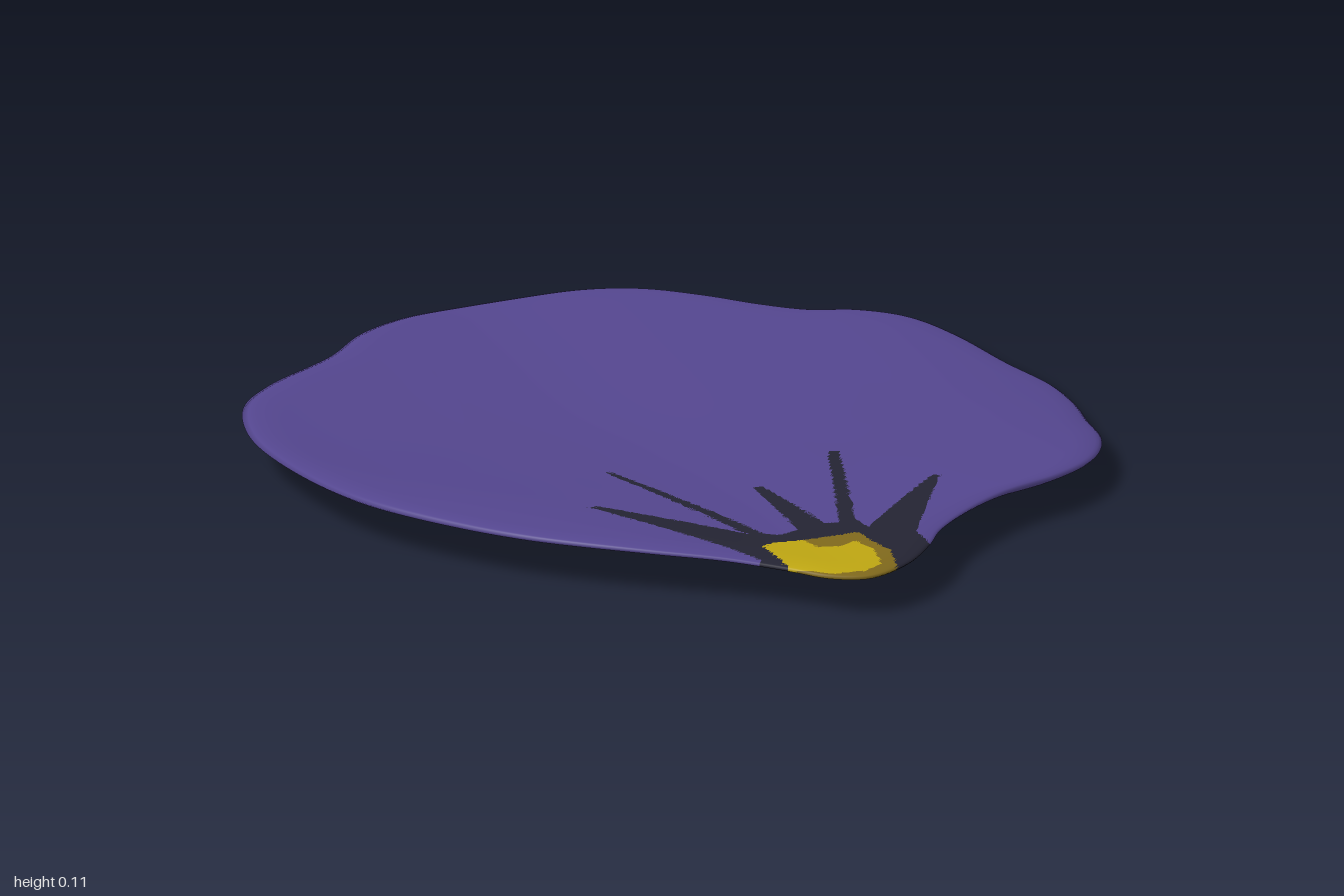
import * as THREE from 'three';

const material = (name, color) => Object.assign(new THREE.MeshStandardMaterial({ color }), { name });

// Petal outline (x, z), running from the back edge round to the right of the plan
const OUTLINE = [
  [-.01, -1], [.15, -.99], [.27, -.95], [.38, -.87], [.47, -.79], [.56, -.73], [.66, -.7], [.76, -.64],
  [.82, -.54], [.86, -.38], [.89, -.22], [.87, -.04], [.83, .12], [.8, .25], [.74, .38], [.67, .47],
  [.57, .54], [.42, .6], [.3, .68], [.2, .77], [.14, .85], [.05, .94], [-.06, .99], [-.14, .96],
  [-.2, .89], [-.3, .79], [-.43, .69], [-.63, .51], [-.75, .35], [-.85, .16], [-.89, 0], [-.9, -.2],
  [-.88, -.4], [-.82, -.55], [-.72, -.65], [-.52, -.78], [-.4, -.89], [-.27, -.96], [-.14, -.99],
];

// Painted regions (x, z), later ones lie over earlier ones
const STREAKS = [
  [-.3, 1.1], [-.24, .82], [-.43, .37], [-.41, .36], [-.18, .67], [-.2, .63], [-.265, .08], [-.25, .08],
  [-.16, .66], [-.13, .68], [-.08, .66], [-.03, .31], [-.01, .31], [-.01, .64], [.02, .65], [.22, .14],
  [.245, .14], [.06, .64], [.06, .71], [.33, .43], [.345, .44], [.14, .78], [.14, .85], [.1, 1.1],
];
const HALO = [[-.2, .76], [-.1, .73], [.03, .73], [.03, .8], [.04, .87], [.02, .95], [-.03, 1.05], [-.16, 1.05], [-.2, .9]];
const HEART = [[-.2, .75], [-.17, .73], [-.1, .73], [-.09, .79], [-.04, .8], [0, .78], [.01, .85], [-.01, .94], [-.06, .965], [-.13, .955], [-.2, .89]];

function inside(poly, x, z) {
  let hit = false;
  for (let i = 0, j = poly.length - 1; i < poly.length; j = i++) {
    const [xi, zi] = poly[i], [xj, zj] = poly[j];
    if ((zi > z) !== (zj > z) && x < (xj - xi) * (z - zi) / (zj - zi) + xi) hit = !hit;
  }
  return hit;
}

function profile(points) {
  const curve = new THREE.CubicInterpolant(points.map(p => p[0]), points.map(p => p[1]), 1);
  return v => curve.evaluate(v)[0];
}

// Cupped middle surface: one profile across and one along the petal
const across = profile([[-1, .1], [-.9, .097], [-.7, .077], [-.4, .05], [-.1, .03], [.2, .034], [.5, .037], [.7, .034], [.9, .016], [1, .005]]);
const along = profile([[-1.1, .088], [-1, .082], [-.75, .06], [-.5, .031], [-.3, .022], [0, .037], [.3, .06], [.6, .078], [1, .085], [1.1, .085]]);
const height = (x, z) => {
  const h = across(x) + along(z) - .028;
  return h < .085 ? h : .085 + .017 * Math.tanh((h - .085) / .017);
};

function petalGeometry() {
  const SIDES = 360, RINGS = 68, HALF = .012, ROUND = .09;
  const cx = -.05, cz = .6;
  const rim = new THREE.CatmullRomCurve3(OUTLINE.map(([x, z]) => new THREE.Vector3(x, 0, z)), true)
    .getSpacedPoints(SIDES);
  const position = [], groups = [[], [], [], []];

  // Concentric rings for both skins, thinning to a shared rounded rim
  for (const side of [1, -1]) {
    position.push(cx, height(cx, cz) + side * HALF, cz);
    for (let r = 1; r <= RINGS; r++) {
      const u = r / RINGS, s = u * (1.25 - .25 * u);
      for (let i = 0; i < SIDES; i++) {
        const dx = rim[i].x - cx, dz = rim[i].z - cz;
        const gap = Math.min(1, (1 - s) * Math.hypot(dx, dz) / ROUND);
        const half = HALF * Math.sqrt(Math.max(0, 1 - (1 - gap) ** 2));
        const x = cx + dx * s, z = cz + dz * s;
        position.push(x, height(x, z) + side * half, z);
      }
    }
  }

  // Sort each face into its colour by where its middle lies
  const face = (a, b, c) => {
    const mid = k => (position[a * 3 + k] + position[b * 3 + k] + position[c * 3 + k]) / 3;
    const x = mid(0), z = mid(2);
    const colour = inside(HEART, x, z) ? 3 : inside(HALO, x, z) ? 2 : inside(STREAKS, x, z) ? 1 : 0;
    groups[colour].push(a, b, c);
  };
  const skin = 1 + SIDES * RINGS;
  for (const under of [false, true]) {
    const at = (r, i) => (r === 0 ? 0 : 1 + (r - 1) * SIDES + i % SIDES) + (under && r < RINGS ? skin : 0);
    const add = (a, b, c) => (under ? face(a, c, b) : face(a, b, c));
    for (let r = 0; r < RINGS; r++) {
      for (let i = 0; i < SIDES; i++) {
        add(at(r, i), at(r + 1, i + 1), at(r + 1, i));
        if (r > 0) add(at(r, i), at(r, i + 1), at(r + 1, i + 1));
      }
    }
  }

  const geometry = new THREE.BufferGeometry();
  geometry.setAttribute('position', new THREE.Float32BufferAttribute(position, 3));
  geometry.setIndex(groups.flat());
  let start = 0;
  groups.forEach((g, k) => {
    geometry.addGroup(start, g.length, k);
    start += g.length;
  });
  geometry.computeVertexNormals();
  geometry.computeBoundingBox();
  geometry.translate(0, -geometry.boundingBox.min.y, 0);
  return geometry;
}

export function createModel() {
  const group = new THREE.Group();
  group.name = 'flowerPetal';
  const petal = new THREE.Mesh(petalGeometry(), [
    material('violet', 0x54468f),
    material('darkStreak', 0x242433),
    material('olive', 0x80691c),
    material('yellow', 0xbea612),
  ]);
  petal.name = 'petal';
  group.add(petal);
  return group;
}
